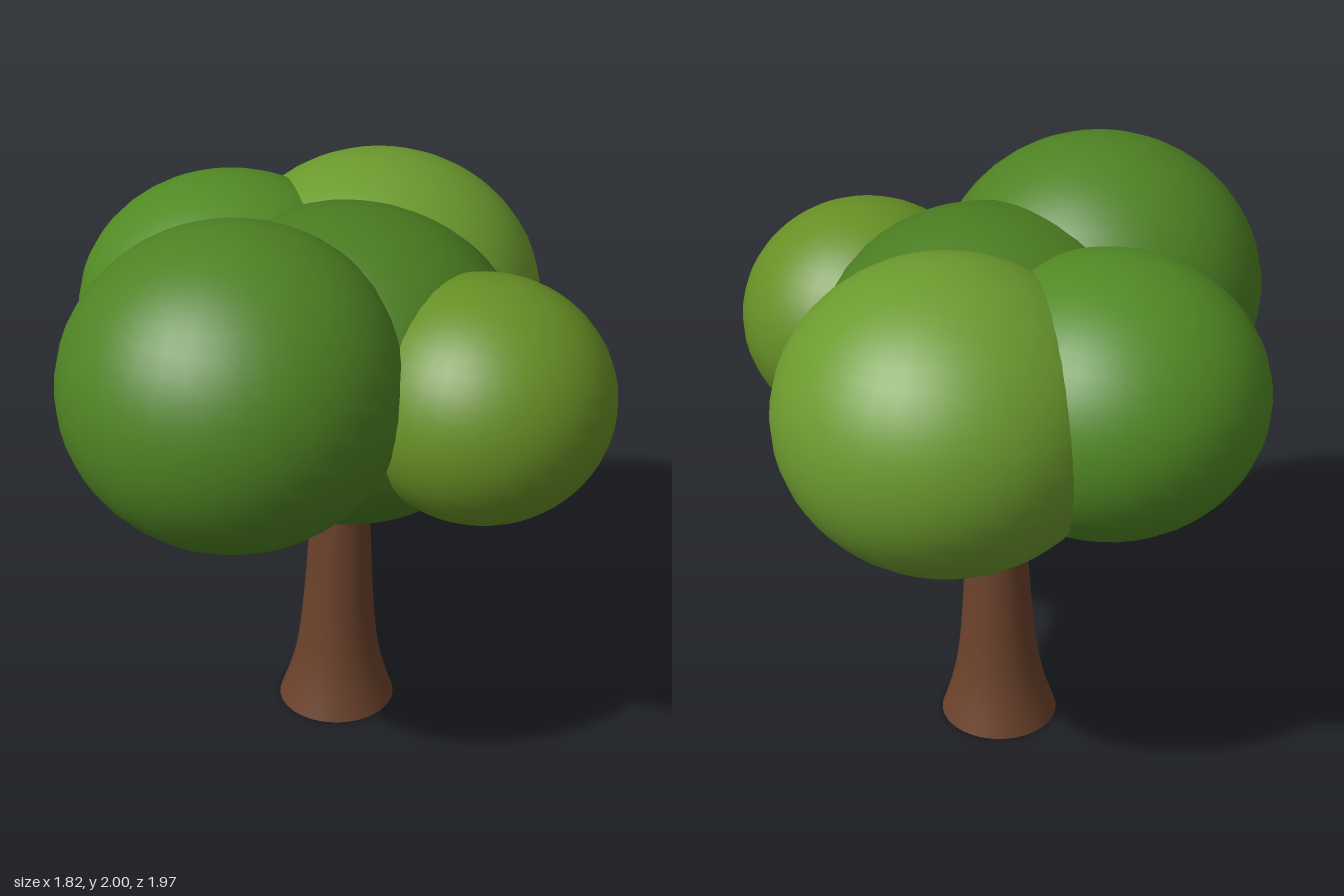
import * as THREE from 'three';

export function createModel() {
  const tree = new THREE.Group();
  tree.name = 'tree';

  const bark = new THREE.MeshStandardMaterial({ color: 0x6b422b, side: THREE.DoubleSide });

  // Flared trunk: a smooth lathe, bent slightly so the foot sits back and to the right
  const profile = new THREE.SplineCurve([
    [0.205, 0], [0.172, 0.1], [0.148, 0.2], [0.131, 0.33], [0.118, 0.5],
    [0.107, 0.7], [0.1, 0.85], [0.09, 1.05],
  ].map(([r, y]) => new THREE.Vector2(r, y)));
  const trunkGeo = new THREE.LatheGeometry(profile.getPoints(20), 32);
  const pos = trunkGeo.attributes.position;
  for (let i = 0; i < pos.count; i++) {
    const t = 1 - pos.getY(i) / 0.9;
    pos.setX(i, pos.getX(i) + 0.003 - 0.018 * t);
    pos.setZ(i, pos.getZ(i) - 0.015 - 0.03 * t);
  }
  const trunk = new THREE.Mesh(trunkGeo, bark);
  trunk.name = 'trunk';
  tree.add(trunk);

  // Foliage: centre, horizontal radius, vertical radius, colour
  const clumps = [
    { name: 'centreFoliage', at: [0.03, 1.37, 0.01], r: 0.59, ry: 0.525, color: 0x4a7c20 },
    { name: 'frontRightFoliage', at: [-0.31, 1.48, 0.42], r: 0.56, ry: 0.52, color: 0x4f8223 },
    { name: 'backLeftFoliage', at: [0.11, 1.41, -0.43], r: 0.56, ry: 0.505, color: 0x6c9a2e },
    { name: 'backRightFoliage', at: [-0.39, 1.43, -0.28], r: 0.52, ry: 0.455, color: 0x528a24 },
    { name: 'frontLeftFoliage', at: [0.475, 1.39, 0.285], r: 0.43, ry: 0.4, color: 0x678f25 },
  ];
  const up = new THREE.Vector3(0, 1, 0);

  clumps.forEach(({ name, at, r, ry, color }, i) => {
    const leaf = new THREE.Mesh(
      new THREE.SphereGeometry(1, 36, 24),
      new THREE.MeshStandardMaterial({ color }),
    );
    leaf.name = name;
    leaf.position.set(...at);
    leaf.scale.set(r, ry, r);
    tree.add(leaf);
    if (i === 0) return;

    // Branch rising from the trunk top towards each outer clump
    const dir = new THREE.Vector3(at[0], 0, at[2]).normalize().multiplyScalar(0.65);
    dir.y = 0.76;
    dir.normalize();
    const length = 0.42;
    const branch = new THREE.Mesh(new THREE.CylinderGeometry(0.03, 0.044, length, 12), bark);
    branch.name = name.replace('Foliage', 'Branch');
    branch.position.set(0, 0.73, -0.018).addScaledVector(dir, length / 2);
    branch.quaternion.setFromUnitVectors(up, dir);
    tree.add(branch);
  });

  return tree;
}
